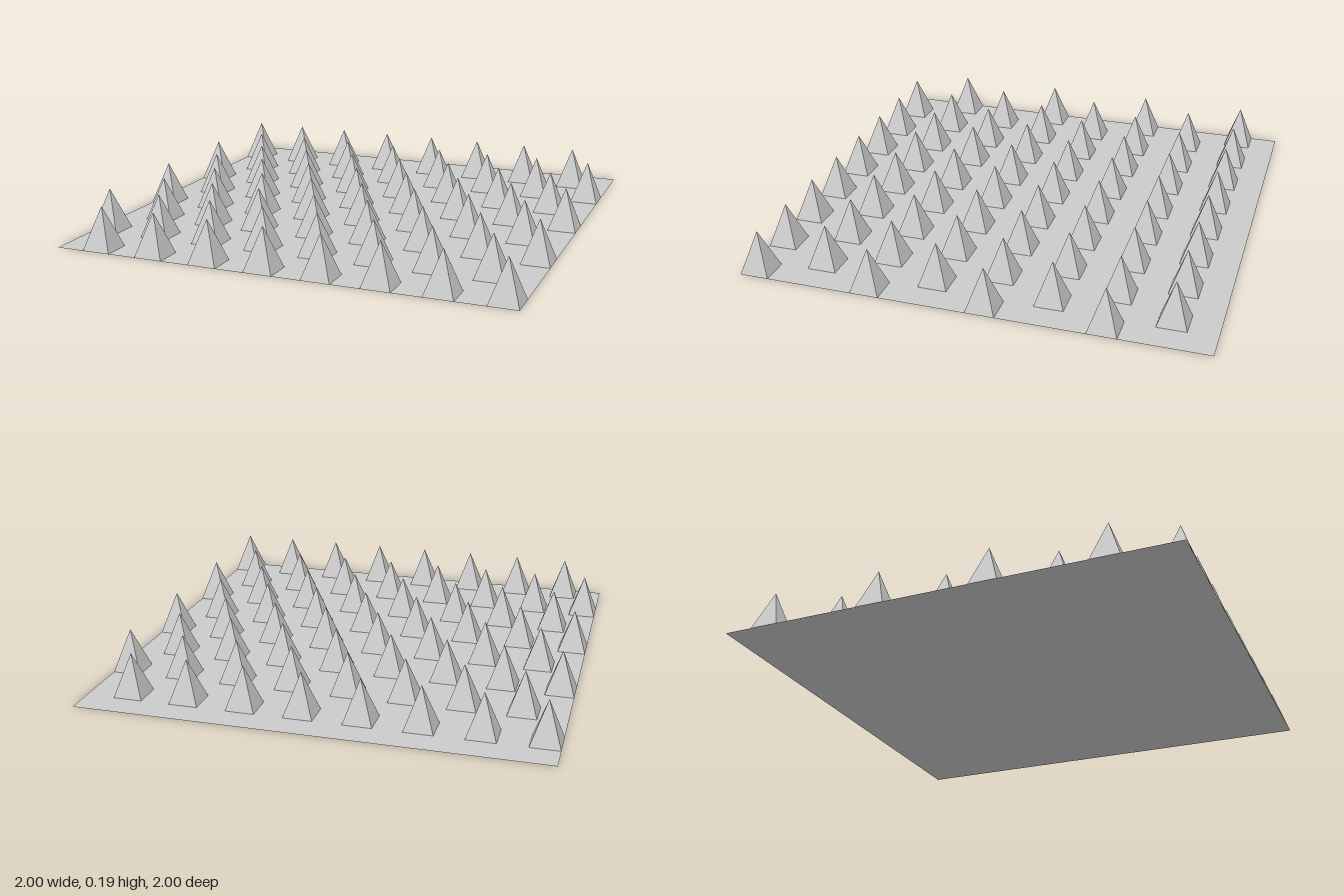
import * as THREE from 'three';

export function createModel() {
  const model = new THREE.Group();
  model.name = 'spikedPanel';
  const material = new THREE.MeshStandardMaterial({
    color: 0xcccccc, flatShading: true, side: THREE.DoubleSide,
  });

  // Thin square floor
  const base = new THREE.Mesh(new THREE.PlaneGeometry(2, 2).rotateX(-Math.PI / 2), material);
  base.name = 'basePlate';
  model.add(base);

  // Four-sided spike, open underneath, standing on y = 0
  const width = 0.125, height = 0.185, pitch = 0.25;
  const spikeGeometry = new THREE.ConeGeometry(width / Math.SQRT2, height, 4, 1, true)
    .rotateY(Math.PI / 4)
    .translate(0, height / 2, 0);

  // Staggered rows from back to front
  for (let row = 0; row < 8; row++) {
    const spikeRow = new THREE.Group();
    spikeRow.name = `spikeRow${row + 1}`;
    spikeRow.position.z = -0.8125 + row * pitch;
    const startX = row % 2 ? -0.8125 : -0.9375;
    for (let col = 0; col < 8; col++) {
      const spike = new THREE.Mesh(spikeGeometry, material);
      spike.name = `spike${col + 1}`;
      // One spike sits slightly out of line
      const shift = row === 5 && col === 2 ? -0.017 : 0;
      spike.position.x = startX + col * pitch + shift;
      spikeRow.add(spike);
    }
    model.add(spikeRow);
  }
  return model;
}
